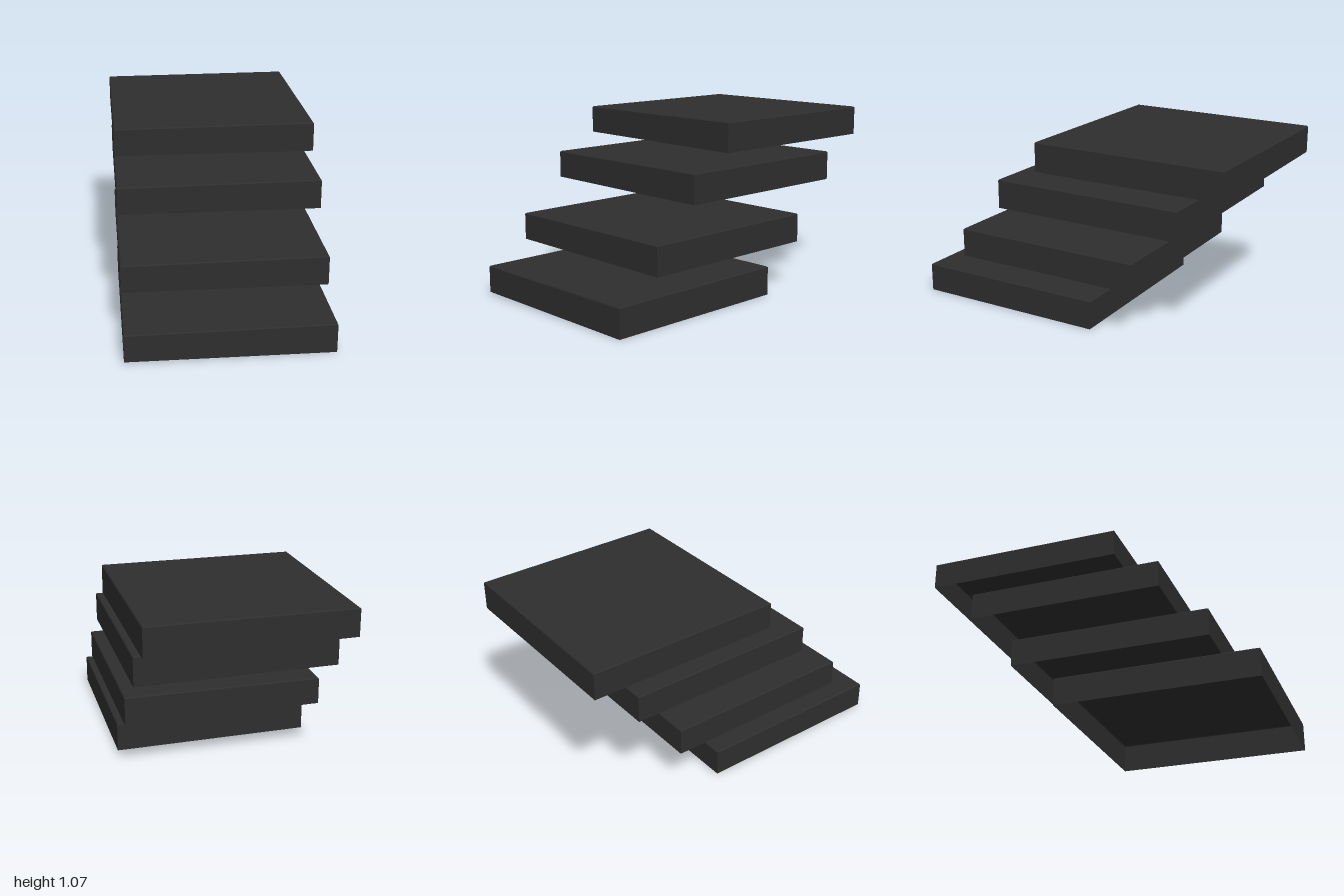
import * as THREE from 'three';

const HALF = 0.59, HEIGHT = 0.175, BEVEL = 0.006, SLOPE = 0.012;
const CORNERS = [[1, 1], [1, -1], [-1, -1], [-1, 1]];

// Hollow tread: four thin walls, a small top bevel and a flat lid, open below.
// The lower rim rises slightly towards -x.
function treadGeometry() {
  const ring = (half, y) => CORNERS.map(([x, z]) => [x * half, y(x), z * half]);
  const rings = [
    ring(HALF, (x) => (x < 0 ? SLOPE : 0)),
    ring(HALF, () => HEIGHT - BEVEL),
    ring(HALF - BEVEL, () => HEIGHT),
  ];
  const points = [];
  const quad = (a, b, c, d) => points.push(...a, ...b, ...c, ...a, ...c, ...d);
  for (let r = 0; r < 2; r++) {
    for (let i = 0; i < 4; i++) {
      const j = (i + 1) % 4;
      quad(rings[r][i], rings[r][j], rings[r + 1][j], rings[r + 1][i]);
    }
  }
  quad(...rings[2]);
  const geometry = new THREE.BufferGeometry();
  geometry.setAttribute('position', new THREE.Float32BufferAttribute(points, 3));
  geometry.computeVertexNormals();
  return geometry;
}

export function createModel() {
  const group = new THREE.Group();
  group.name = 'floatingSteps';
  const charcoal = new THREE.MeshStandardMaterial({ color: 0x2e2e2e, side: THREE.DoubleSide });
  charcoal.name = 'charcoal';
  const geometry = treadGeometry();

  // Base height and depth position of each step, lowest first
  [[0, 0.41], [0.283, 0.138], [0.637, -0.142], [0.897, -0.41]].forEach(([y, z], i) => {
    const step = new THREE.Mesh(geometry, charcoal);
    step.name = `step${i + 1}`;
    step.position.set(0, y, z);
    group.add(step);
  });
  return group;
}
